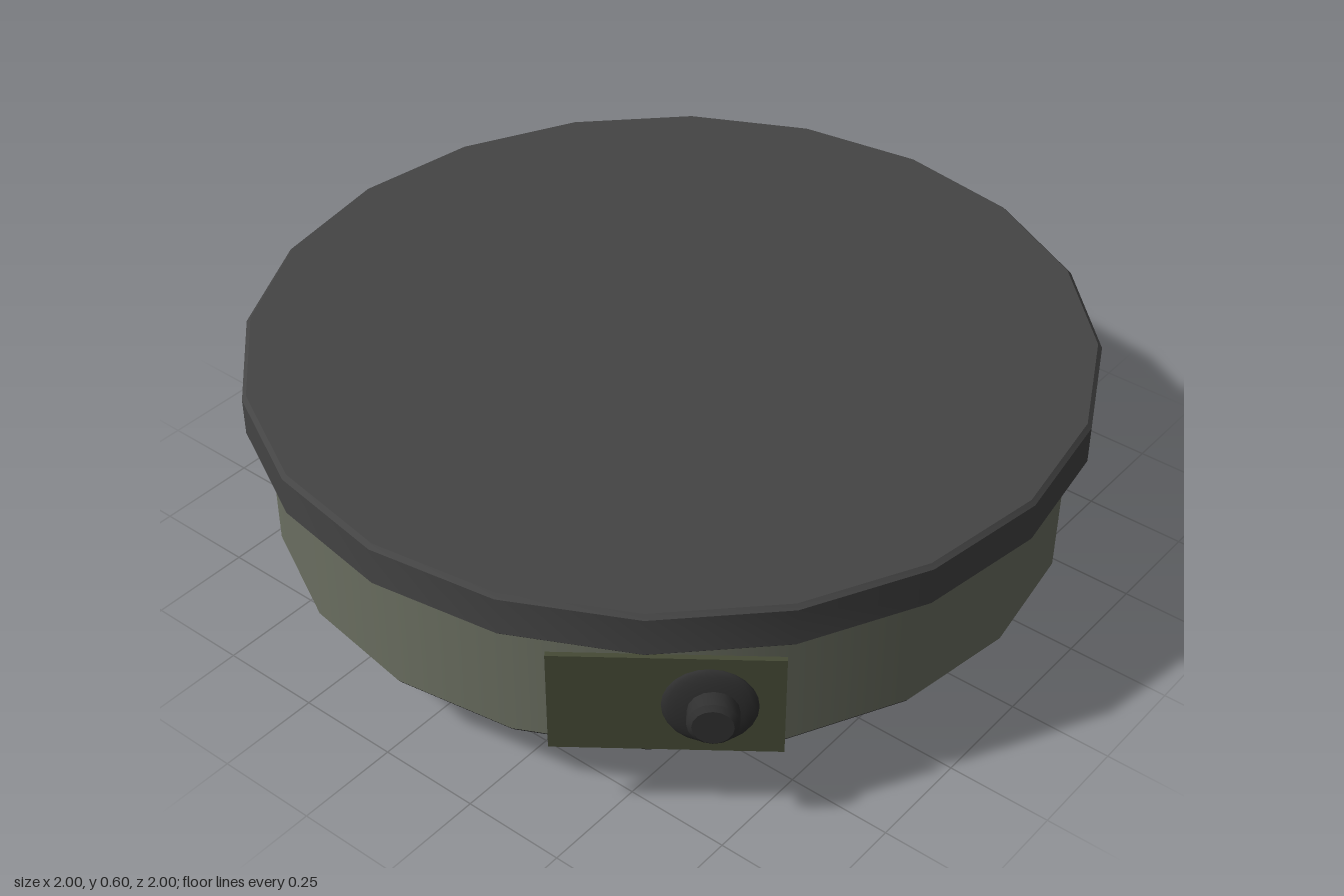
import * as THREE from 'three';
import { toCreasedNormals } from 'three/addons/utils/BufferGeometryUtils.js';

const SIDES = 20;
const paint = (color) => new THREE.MeshStandardMaterial({ color });

function part(name, geometry, material) {
  const mesh = new THREE.Mesh(geometry, material);
  mesh.name = name;
  return mesh;
}

// Turned part from [radius, y] pairs, bottom to top; sharp at its bevels
function turned(profile, sides) {
  const points = profile.map(([r, y]) => new THREE.Vector2(r, y));
  return toCreasedNormals(new THREE.LatheGeometry(points, sides), 0.5);
}

// Tapered block: a box whose rows are resized to [y, depth x, width z]
function footGeometry() {
  const rows = [[0.2, 0.07, 0.09], [0.15, 0.115, 0.13], [0.08, 0.115, 0.115], [0.02, 0.115, 0.085], [0, 0.108, 0.06]];
  const geo = new THREE.BoxGeometry(1, 1, 1, 1, rows.length - 1, 1);
  const pos = geo.attributes.position;
  for (let i = 0; i < pos.count; i++) {
    const row = rows[Math.round((0.5 - pos.getY(i)) * (rows.length - 1))];
    pos.setXYZ(i, pos.getX(i) * row[1], row[0], pos.getZ(i) * row[2]);
  }
  return toCreasedNormals(geo, 0.3);
}

export function createModel() {
  const model = new THREE.Group();
  model.name = 'hotPlate';
  const plateMat = paint(0x444444);
  const bodyMat = paint(0x6a6e60);
  const panelMat = paint(0x454a35);
  const darkMat = paint(0x303030);

  // Round cooking plate with a fine bevel on both rims
  model.add(part('cookingPlate', turned([
    [0, 0.49], [0.991, 0.49], [0.998, 0.497], [0.998, 0.589], [0.988, 0.599], [0, 0.599],
  ], SIDES), plateMat));

  // Drum-shaped housing and its dark underside
  const body = part('housing', new THREE.CylinderGeometry(0.948, 0.948, 0.31, SIDES, 1, true), bodyMat);
  body.position.y = 0.335;
  model.add(body);
  model.add(part('underside', turned([[0, 0.173], [0.943, 0.173], [0.948, 0.18]], SIDES), darkMat));

  // Control panel and knob, on the front left of the housing
  const control = new THREE.Group();
  control.name = 'control';
  control.rotation.y = 0.651;
  const panel = part('controlPanel', new THREE.BoxGeometry(0.5, 0.26, 0.013), panelMat);
  panel.position.set(0.02, 0.33, 0.961);
  const skirt = part('knobSkirt', new THREE.SphereGeometry(0.103, 24, 12), darkMat);
  skirt.scale.z = 0.2;
  skirt.position.set(0.112, 0.33, 0.968);
  const knob = part('knob', turned([
    [0.056, 0], [0.056, 0.052], [0.045, 0.062], [0, 0.062],
  ], 16), darkMat);
  knob.rotation.x = Math.PI / 2;
  knob.position.set(0.119, 0.33, 0.971);
  control.add(panel, skirt, knob);
  model.add(control);

  // Three tapered feet, each turned to face outwards
  const footGeo = footGeometry();
  for (const [x, z] of [[0.742, -0.02], [-0.455, 0.64], [-0.24, -0.75]]) {
    const foot = part('foot', footGeo, darkMat);
    foot.position.set(x, 0, z);
    foot.rotation.y = Math.atan2(-z, x);
    model.add(foot);
  }
  return model;
}
